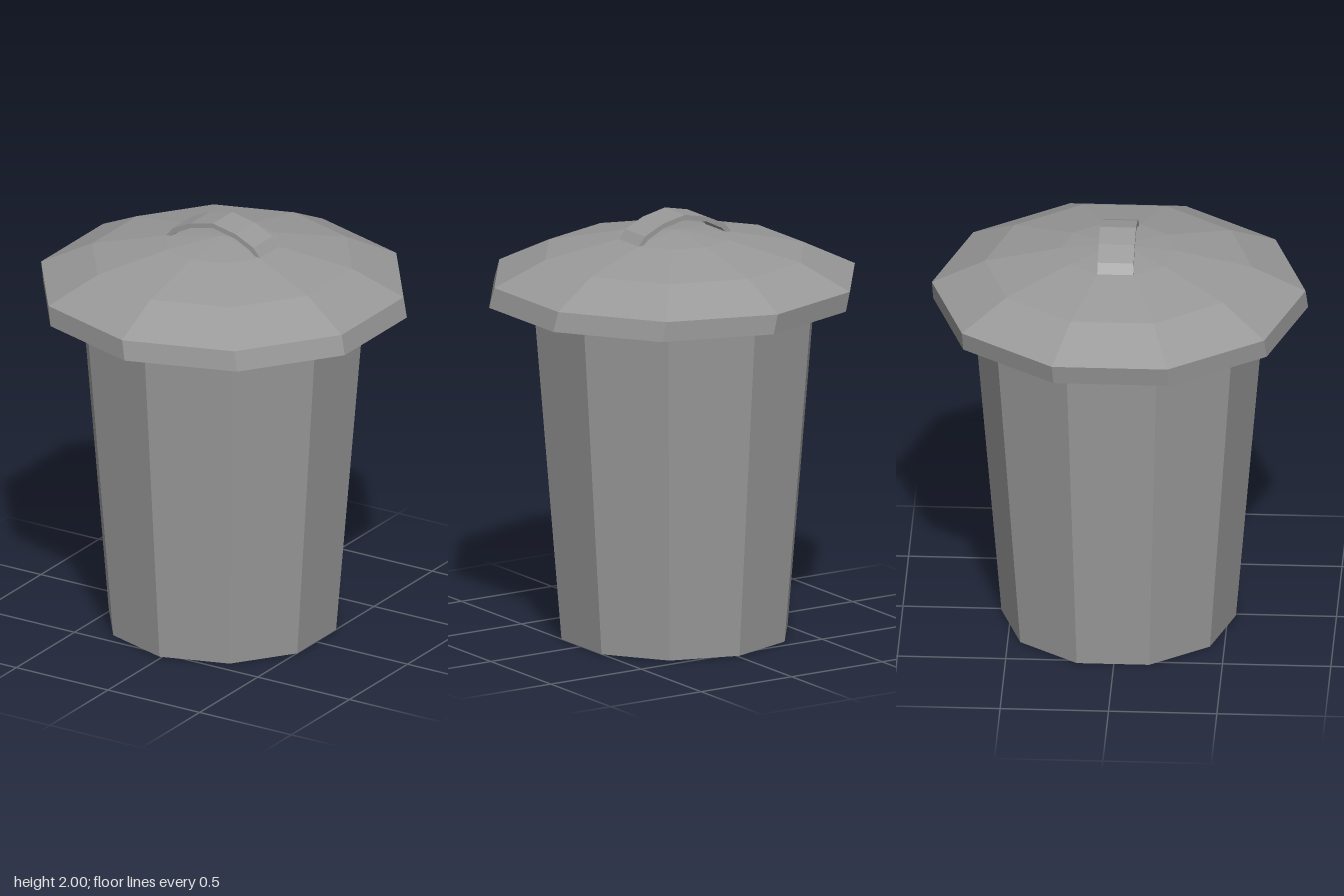
import * as THREE from 'three';

const SIDES = 10;

// Ten-sided solid turned from [radius, height] pairs
function turned(profile) {
  return new THREE.LatheGeometry(profile.map(([r, y]) => new THREE.Vector2(r, y)), SIDES);
}

export function createModel() {
  const metal = new THREE.MeshStandardMaterial({ color: 0x999999 });
  metal.name = 'grey metal';
  metal.flatShading = true;

  const model = new THREE.Group();
  model.name = 'dustbin';

  function add(name, geometry) {
    const mesh = new THREE.Mesh(geometry, metal);
    mesh.name = name;
    mesh.position.set(-0.013, 0, -0.004);
    model.add(mesh);
  }

  // Tapered bin: floor, outer wall, lip, inner wall, inside floor
  add('bin', turned([
    [0, 0], [0.541, 0], [0.673, 1.6],
    [0.635, 1.6], [0.505, 0.04], [0, 0.04],
  ]));

  // Domed lid: underside, rim, then the outer dome
  const lid = turned([
    [0, 1.87], [0.26, 1.845], [0.58, 1.775], [0.755, 1.68], [0.755, 1.6],
    [0.865, 1.6], [0.862, 1.693], [0.618, 1.81], [0.27, 1.885], [0, 1.912],
  ]);
  // The rim's lower edge sits slightly off centre
  const p = lid.attributes.position;
  for (let i = 0; i < p.count; i++) {
    if (p.getY(i) < 1.605) p.setXYZ(i, p.getX(i) + 0.02, p.getY(i), p.getZ(i) + 0.008);
  }
  add('lid', lid);

  // Arched strap handle, mirrored from one half of its outline
  const outer = [[0.255, 1.885], [0.22, 1.928], [0.122, 1.974], [0, 2]];
  const inner = [[0.235, 1.88], [0.2, 1.911], [0.12, 1.951], [0, 1.977]];
  const arch = (half) => [
    ...half.map(([x, y]) => new THREE.Vector2(x, y)),
    ...half.slice(0, -1).reverse().map(([x, y]) => new THREE.Vector2(-x, y)),
  ];
  const outline = new THREE.Shape([...arch(outer), ...arch(inner).reverse()]);
  const handle = new THREE.ExtrudeGeometry(outline, { depth: 0.166, bevelEnabled: false });
  handle.translate(0, 0, -0.086);
  add('handle', handle);

  return model;
}
